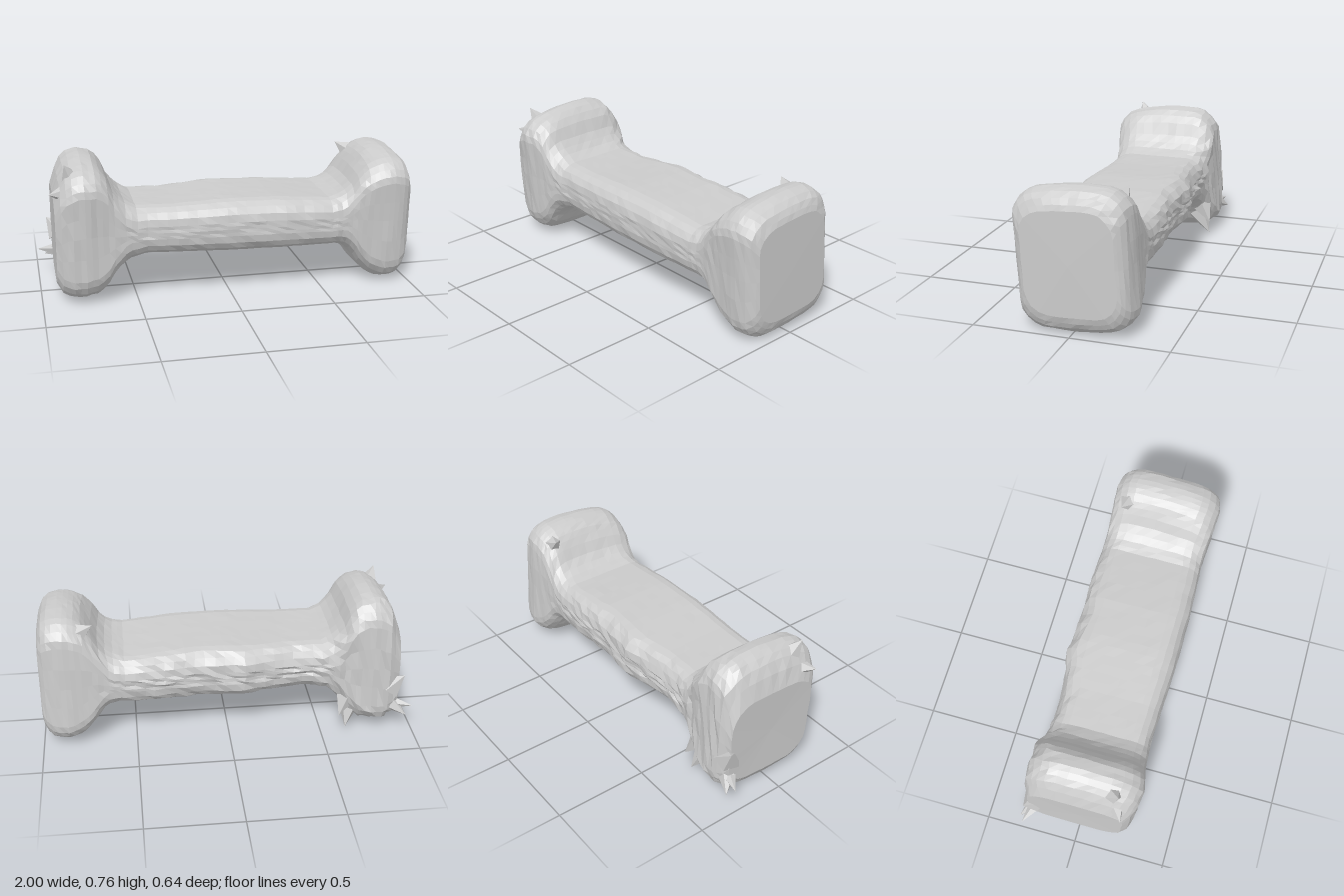
import * as THREE from 'three';

// Outline curves along the bone: [x, value]
const TOP = [[-0.92, 0.57], [-0.9, 0.64], [-0.86, 0.71], [-0.82, 0.745], [-0.77, 0.758], [-0.71, 0.745], [-0.66, 0.70], [-0.62, 0.61],
  [-0.57, 0.545], [-0.5, 0.51], [-0.3, 0.508], [0, 0.52], [0.25, 0.515], [0.55, 0.49], [0.62, 0.51], [0.66, 0.56], [0.7, 0.64],
  [0.75, 0.69], [0.82, 0.72], [0.88, 0.73], [0.94, 0.715], [0.975, 0.685], [0.995, 0.63]];
const BOTTOM = [[-0.92, 0.09], [-0.9, 0.045], [-0.85, 0.018], [-0.78, 0.016], [-0.7, 0.035], [-0.65, 0.09], [-0.61, 0.16], [-0.55, 0.22],
  [-0.45, 0.25], [0, 0.235], [0.58, 0.23], [0.65, 0.205], [0.69, 0.15], [0.73, 0.085], [0.78, 0.035], [0.84, 0.006], [0.9, 0.002],
  [0.95, 0.015], [0.98, 0.05], [0.995, 0.1]];
const FRONT = [[-0.92, 0.245], [-0.89, 0.275], [-0.83, 0.295], [-0.76, 0.305], [-0.65, 0.29], [-0.45, 0.275], [0, 0.295], [0.3, 0.295],
  [0.65, 0.28], [0.87, 0.295], [0.94, 0.285], [0.975, 0.265], [0.995, 0.235]];
const BACK = [[-0.92, -0.26], [-0.86, -0.295], [-0.75, -0.295], [-0.64, -0.28], [-0.45, -0.255], [-0.3, -0.255], [-0.07, -0.298],
  [0.15, -0.277], [0.35, -0.292], [0.65, -0.28], [0.86, -0.295], [0.94, -0.28], [0.975, -0.26], [0.995, -0.23]];

function sample(curve, x) {
  for (let i = 1; i < curve.length; i++) {
    const [x0, a] = curve[i - 1], [x1, b] = curve[i];
    if (x <= x1) return a + (b - a) * Math.max(0, (x - x0) / (x1 - x0));
  }
  return curve[curve.length - 1][1];
}

// Small repeatable surface unevenness
let seed = 7;
const rand = () => ((seed = (seed * 16807) % 2147483647) / 2147483647) - 0.5;

// Rounded rectangle in (z, y), running up the front and down the back
function section(x) {
  const t = sample(TOP, x), b = sample(BOTTOM, x), f = sample(FRONT, x), k = sample(BACK, x);
  const r = Math.min(0.11, (t - b) * 0.37);
  const corners = [[f - r, b + r], [f - r, t - r], [k + r, t - r], [k + r, b + r]];
  const onArc = ([cz, cy], degrees) => {
    const a = THREE.MathUtils.degToRad(degrees);
    return [cz + r * Math.cos(a), cy + r * Math.sin(a)];
  };
  const pts = [];
  corners.forEach((corner, c) => {
    const start = c * 90 - 90;
    for (let i = 0; i <= 4; i++) pts.push(onArc(corner, start + i * 22.5));
    const from = onArc(corner, start + 90), to = onArc(corners[(c + 1) % 4], start + 90);
    const steps = c % 2 ? 7 : 4;
    for (let i = 1; i < steps; i++) {
      pts.push([from[0] + (to[0] - from[0]) * i / steps, from[1] + (to[1] - from[1]) * i / steps]);
    }
  });
  return pts;
}

function boneGeometry() {
  // Slices are denser in the knobs than along the shaft
  const xs = [];
  for (let i = 0; i < 14; i++) xs.push(-0.92 + 0.42 * i / 14);
  for (let i = 0; i < 20; i++) xs.push(-0.5 + 1.05 * i / 20);
  for (let i = 0; i < 15; i++) xs.push(0.55 + 0.42 * i / 15);
  xs.push(0.97, 0.985, 0.995);

  const pos = [], index = [];
  let n = 0;
  xs.forEach((x) => {
    const pts = section(x);
    n = pts.length;
    const height = sample(TOP, x) - sample(BOTTOM, x);
    const knob = THREE.MathUtils.smoothstep(Math.abs(x), 0.55, 0.75);
    const end = x < -0.91 || x > 0.99;
    pts.forEach(([z, y]) => {
      // Shallow hollow in the inner top of the +x knob
      const hollow = y > 0.5 && x > 0.6 && x < 0.8 ? 0.03 * Math.sin((x - 0.6) / 0.2 * Math.PI) * Math.cos((z + 0.05) * 4) : 0;
      // Knobs lean slightly forward, and their tops and bottoms are crowned
      const lean = knob * 0.06 * (y - 0.37);
      const crown = y > 0.37 ? -0.45 * (z + 0.08) ** 2 : 0.35 * (z - 0.06) ** 2;
      const rough = z < -0.18 && x < 0.5 ? 0.016 : 0.006;
      pos.push(
        x + (end ? 0 : hollow + rand() * rough * 0.8),
        y + knob * crown * Math.abs(y - 0.37) / 0.37 + rand() * rough * height,
        z + lean + rand() * rough,
      );
    });
  });
  for (let i = 0; i < xs.length - 1; i++) {
    for (let j = 0; j < n; j++) {
      const a = i * n + j, b = i * n + (j + 1) % n, c = a + n, d = b + n;
      index.push(a, c, b, b, c, d);
    }
  }
  // Flat end faces
  const last = (xs.length - 1) * n, centre = pos.length / 3;
  pos.push(-0.915, 0.33, 0, 0.998, 0.36, 0);
  for (let j = 0; j < n; j++) {
    const k = (j + 1) % n;
    index.push(centre, j, k, centre + 1, last + k, last + j);
  }
  const geo = new THREE.BufferGeometry();
  geo.setAttribute('position', new THREE.Float32BufferAttribute(pos, 3));
  geo.setIndex(index);
  geo.computeVertexNormals();
  return geo;
}

export function createModel() {
  const group = new THREE.Group();
  group.name = 'bone';
  const material = new THREE.MeshStandardMaterial({ color: 0xcccccc, flatShading: true });

  const body = new THREE.Mesh(boneGeometry(), material);
  body.name = 'boneBody';
  group.add(body);

  // Ragged chips, mostly around the -x knob: base point, tip, base radius
  const chips = [
    [[-0.87, 0.15, -0.24], [-1.0, 0.14, -0.295], 0.045],
    [[-0.88, 0.15, -0.25], [-0.96, 0.1, -0.32], 0.05],
    [[-0.88, 0.25, -0.25], [-0.945, 0.33, -0.285], 0.07],
    [[-0.67, 0.14, -0.2], [-0.635, 0.02, -0.28], 0.07],
    [[-0.64, 0.19, -0.23], [-0.595, 0.1, -0.29], 0.06],
    [[-0.86, 0.6, 0.2], [-0.945, 0.61, 0.245], 0.05],
    [[-0.83, 0.68, 0.18], [-0.86, 0.752, 0.215], 0.05],
    [[0.77, 0.65, -0.19], [0.705, 0.695, -0.21], 0.05],
  ];
  chips.forEach(([from, to, radius], i) => {
    const a = new THREE.Vector3(...from), b = new THREE.Vector3(...to);
    const dir = b.clone().sub(a);
    const chip = new THREE.Mesh(new THREE.ConeGeometry(radius, dir.length(), 5), material);
    chip.name = `raggedChip${i + 1}`;
    chip.position.copy(a).add(b).multiplyScalar(0.5);
    chip.quaternion.setFromUnitVectors(new THREE.Vector3(0, 1, 0), dir.normalize());
    group.add(chip);
  });
  return group;
}
